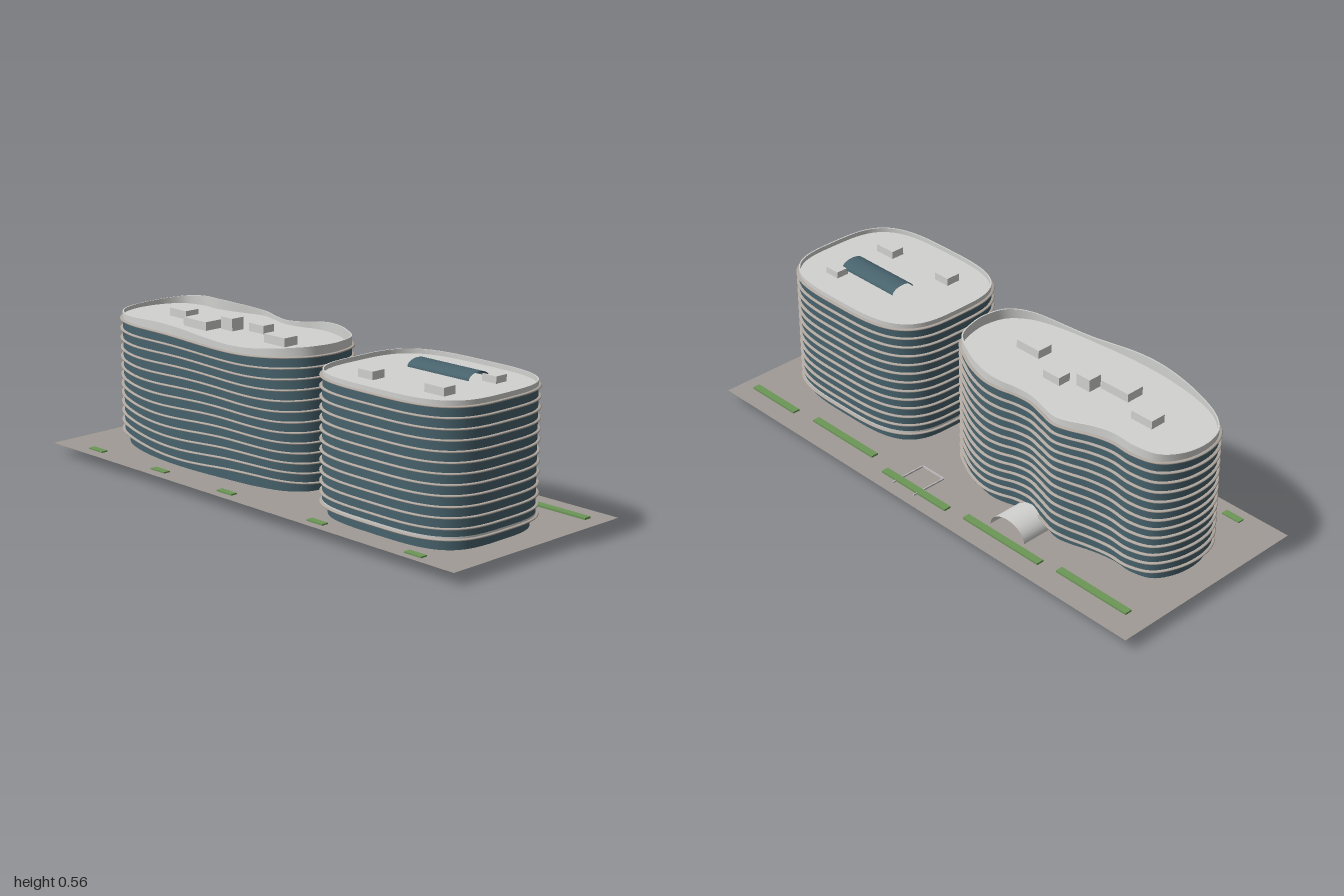
import * as THREE from 'three';
import { toCreasedNormals } from 'three/addons/utils/BufferGeometryUtils.js';

const material = (name, color, side = THREE.DoubleSide) => {
  const m = new THREE.MeshStandardMaterial({ color, side });
  m.name = name;
  return m;
};

const GROUND = 0.043;
const ROOF = 0.515;
const FLOORS = 13;

// Closed plan outlines as [x, z], running +x -> +z -> -x -> -z
function roundedOutline(cx, cz, rx, rz, power, n = 96) {
  const bend = (v) => Math.sign(v) * Math.abs(v) ** (2 / power);
  return Array.from({ length: n }, (_, i) => {
    const a = (i / n) * Math.PI * 2;
    return [cx + rx * bend(Math.cos(a)), cz + rz * bend(Math.sin(a))];
  });
}

function wavyOutline(n = 144) {
  const pts = [
    [-0.914, 0.055], [-0.902, -0.05], [-0.855, -0.125], [-0.773, -0.152], [-0.69, -0.149],
    [-0.61, -0.163], [-0.53, -0.187], [-0.473, -0.195], [-0.4, -0.176], [-0.33, -0.158],
    [-0.265, -0.163], [-0.21, -0.179], [-0.147, -0.185], [-0.067, -0.167], [0, -0.137],
    [0.086, -0.08], [0.118, 0], [0.125, 0.065], [0.104, 0.15], [0.037, 0.21],
    [-0.072, 0.244], [-0.24, 0.264], [-0.4, 0.275], [-0.56, 0.27], [-0.715, 0.243],
    [-0.823, 0.2], [-0.888, 0.14],
  ].map(([x, z]) => new THREE.Vector3(x, 0, z));
  const curve = new THREE.CatmullRomCurve3(pts, true);
  return curve.getSpacedPoints(n).slice(0, n).map((p) => [p.x, p.z]);
}

// Moves an outline outwards (or inwards when d is negative)
function offset(outline, d) {
  const n = outline.length;
  return outline.map(([x, z], i) => {
    const a = outline[(i + n - 1) % n], b = outline[(i + 1) % n];
    const tx = b[0] - a[0], tz = b[1] - a[1], l = Math.hypot(tx, tz);
    return [x + (tz / l) * d, z - (tx / l) * d];
  });
}

// Skin through closed rings; each ring is [outline, height function of x and z]
function loft(rings) {
  const n = rings[0][0].length;
  const positions = [], index = [];
  rings.forEach(([outline, y]) => outline.forEach(([x, z]) => positions.push(x, y(x, z), z)));
  for (let r = 0; r < rings.length - 1; r++) {
    for (let i = 0; i < n; i++) {
      const j = (i + 1) % n;
      const a = r * n + i, b = r * n + j, c = b + n, d = a + n;
      index.push(a, d, c, a, c, b);
    }
  }
  const g = new THREE.BufferGeometry();
  g.setAttribute('position', new THREE.Float32BufferAttribute(positions, 3));
  g.setIndex(index);
  return toCreasedNormals(g, 0.7);
}

function cap(outline, y) {
  const g = new THREE.ShapeGeometry(new THREE.Shape(outline.map(([x, z]) => new THREE.Vector2(x, -z))));
  return g.rotateX(-Math.PI / 2).translate(0, y, 0);
}

// Thin floor slab with a rounded nose
function slab(outline, reach, y) {
  const r = 0.003, steps = 8;
  const inner = offset(outline, -0.003);
  const rings = [[inner, (x, z) => y(x, z) - r]];
  for (let k = 0; k <= steps; k++) {
    const a = (k / steps - 0.5) * Math.PI;
    rings.push([offset(outline, reach - r + r * Math.cos(a)), (x, z) => y(x, z) + r * Math.sin(a)]);
  }
  rings.push([inner, (x, z) => y(x, z) + r]);
  return loft(rings);
}

export function createModel() {
  const model = new THREE.Group();
  const glass = material('blue glass', 0x48636d);
  const slabGrey = material('slab grey', 0xb0a8a0);
  const roofGrey = material('roof grey', 0xd2d2d0);
  const paving = material('paving', 0xa09b95);
  const hedgeGreen = material('hedge green', 0x6c9657, THREE.FrontSide);
  const rampGrey = material('ramp grey', 0xc2c0c2);

  const add = (parent, name, geometry, mat) => {
    const mesh = new THREE.Mesh(geometry, mat);
    mesh.name = name;
    parent.add(mesh);
    return mesh;
  };
  // Box given by its x, y and z limits
  const block = (parent, name, mat, x0, x1, y0, y1, z0, z1) => {
    const g = new THREE.BoxGeometry(x1 - x0, y1 - y0, z1 - z0);
    add(parent, name, g.translate((x0 + x1) / 2, (y0 + y1) / 2, (z0 + z1) / 2), mat);
  };
  // Half pipe with its axis along z, flat side down
  const vault = (halfWidth, height, length) =>
    new THREE.CylinderGeometry(1, 1, 1, 24, 1, true, -Math.PI / 2, Math.PI)
      .rotateX(-Math.PI / 2)
      .scale(halfWidth, height, length);

  // A block of floors: base, glass walls, slabs, parapet, roof and roof units
  function building(name, outline, wave, parapetTop, units) {
    const group = new THREE.Group();
    group.name = name;
    model.add(group);
    const base = offset(outline, -0.018);
    const inner = offset(outline, -0.005);
    const flat = (y) => () => y;
    const level = (y, i) => (x, z) => y + wave(x, z, i);

    add(group, 'baseWall', loft([[base, flat(GROUND)], [base, flat(0.09)]]), glass);
    add(group, 'glassWall', loft([[outline, level(0.084, 0)], [outline, level(0.512, 12)]]), glass);
    add(group, 'soffit', cap(outline, 0.09), roofGrey);
    for (let i = 0; i < FLOORS; i++) {
      add(group, 'floorSlab', slab(outline, 0.01, level(0.083 + i * 0.0357, i)), slabGrey);
    }
    add(group, 'parapet', loft([
      [outline, level(0.511, 12)], [outline, parapetTop],
      [inner, parapetTop], [inner, flat(ROOF - 0.004)],
    ]), roofGrey);
    add(group, 'roof', cap(inner, ROOF), roofGrey);
    units.forEach(([x0, x1, z0, z1, top]) => block(group, 'roofUnit', roofGrey, x0, x1, ROOF, top, z0, z1));
    return group;
  }

  // Long wavy building, its floors rippling around the perimeter
  const ripple = (x, z, i) => Math.sin(9 * x + 4.5 * (0.27 - z) + 2.47 + 0.3 * i);
  const longOutline = offset(wavyOutline(), -0.005);
  const longBlock = building('wavyBuilding', longOutline,
    (x, z, i) => 0.007 * ripple(x, z, i), (x, z) => 0.541 + 0.012 * ripple(x, z, 12), [
      [-0.72, -0.63, 0, 0.06, 0.545], [-0.56, -0.44, 0.06, 0.13, 0.546],
      [-0.43, -0.37, 0.015, 0.068, 0.56], [-0.335, -0.26, -0.03, 0.02, 0.545],
      [-0.17, -0.065, 0.04, 0.1, 0.546],
    ]);
  add(longBlock, 'baseFloor', cap(offset(longOutline, -0.018), GROUND - 0.001), rampGrey);

  // Arched entrance at the back
  add(longBlock, 'entranceVault', vault(0.08, 0.058, 0.12), roofGrey).position.set(-0.345, GROUND, -0.215);

  // Rounded building with level floors and a pale band above the base
  const roundOutline = roundedOutline(0.571, 0.055, 0.335, 0.263, 3.4);
  const roundBlock = building('roundedBuilding', roundOutline, () => 0, () => 0.531, [
    [0.71, 0.77, -0.093, -0.043, 0.539], [0.4, 0.465, 0.153, 0.208, 0.543],
    [0.68, 0.765, 0.142, 0.194, 0.543],
  ]);
  const band = offset(roundOutline, 0.001);
  add(roundBlock, 'baseBand', loft([[band, () => 0.086], [band, () => 0.093]]), roofGrey);
  add(roundBlock, 'skylight', vault(0.048, 0.024, 0.27).rotateY(Math.PI / 2), glass)
    .position.set(0.597, 0.532, -0.003);

  // Paved ground
  add(model, 'ground', new THREE.PlaneGeometry(2, 0.79).rotateX(-Math.PI / 2).translate(0, GROUND, -0.003), paving);

  // Hedges: long ones at the back, short ones at the front
  const soil = GROUND + 0.001;
  [
    [-0.915, -0.605, -0.293], [-0.537, -0.182, -0.311], [-0.107, 0.212, -0.326],
    [0.303, 0.623, -0.293], [0.712, 0.943, -0.311],
  ].forEach(([x0, x1, z]) => block(model, 'backHedge', hedgeGreen, x0, x1, soil, 0.051, z - 0.014, z + 0.014));
  [-0.805, -0.449, -0.092, 0.357, 0.802].forEach((x, i) => {
    const z = 0.338 + i * 0.004;
    block(model, 'frontHedge', hedgeGreen, x - 0.037, x + 0.037, soil, 0.049, z - 0.013, z + 0.013);
  });

  // Ramp running down beneath the ground, with a low kerb above
  const ramp = new THREE.PlaneGeometry(0.108, Math.hypot(0.14, GROUND));
  ramp.rotateX(-Math.PI / 2 + Math.atan2(GROUND, 0.14)).translate(0.086, GROUND / 2, -0.285);
  add(model, 'ramp', ramp, rampGrey);
  for (const x of [0.032, 0.138]) {
    block(model, 'rampKerb', rampGrey, x - 0.002, x + 0.002, soil, 0.05, -0.355, -0.215);
  }
  block(model, 'rampEndKerb', rampGrey, 0.032, 0.138, soil, 0.05, -0.217, -0.213);
  return model;
}
